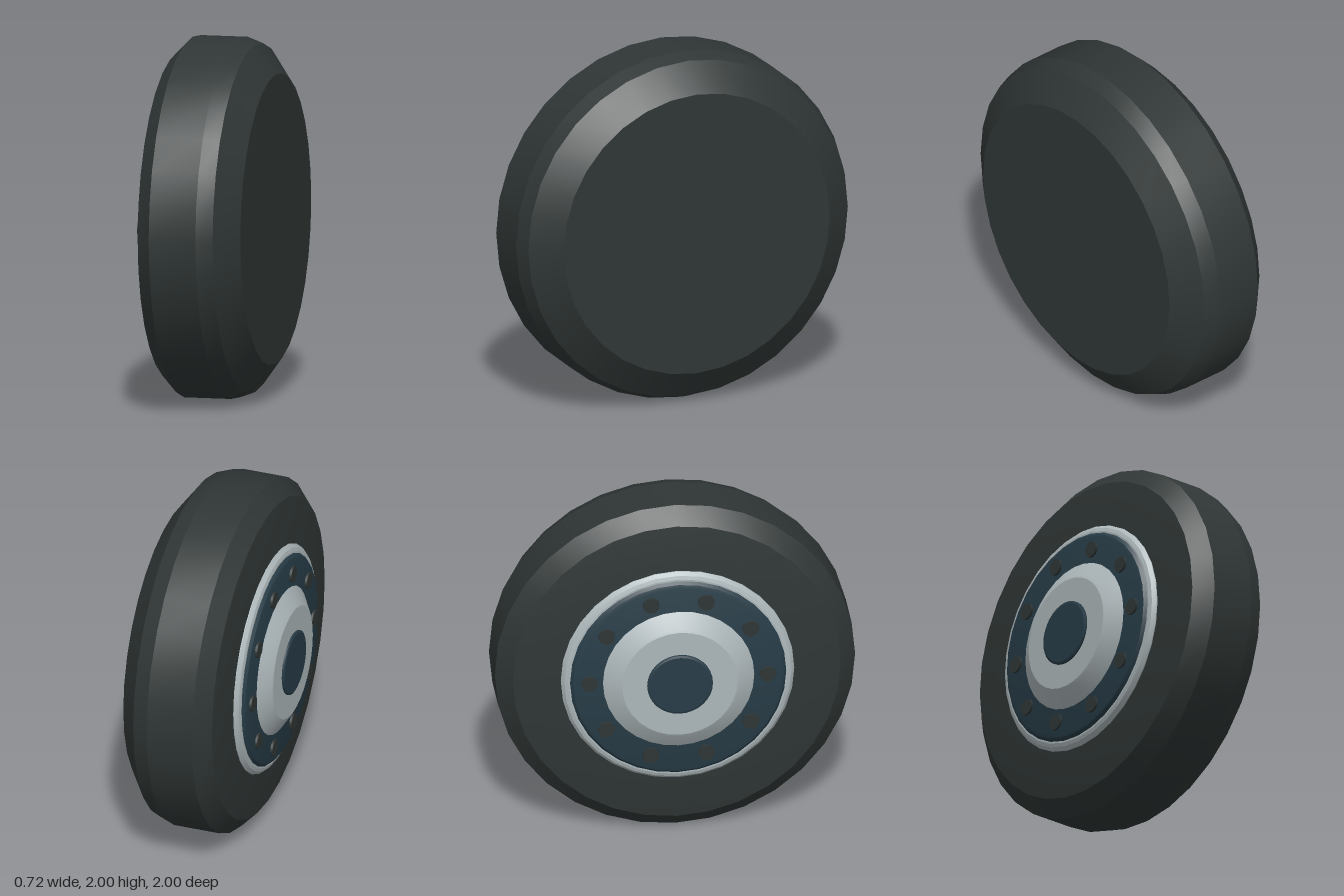
import * as THREE from 'three';
import { toCreasedNormals } from 'three/addons/utils/BufferGeometryUtils.js';

const mat = (name, color) => {
  const m = new THREE.MeshStandardMaterial({ color });
  m.name = name;
  return m;
};

export function createModel() {
  const rubber = mat('rubber', 0x2f3635);
  const steel = mat('light steel', 0xacb6b9);
  const blue = mat('dark blue metal', 0x273c47);

  const wheel = new THREE.Group();
  wheel.name = 'wheel';
  wheel.position.y = 1;

  // Solid of revolution about the x axle; the profile is [x, radius] from -x to +x
  function turned(name, profile, material) {
    const points = profile.map(([x, r]) => new THREE.Vector2(r, x));
    const geo = new THREE.LatheGeometry(points, 32).rotateZ(-Math.PI / 2);
    const mesh = new THREE.Mesh(toCreasedNormals(geo, 0.3), material);
    mesh.name = name;
    wheel.add(mesh);
  }

  // Tyre with a shallow outer wall and a deep bevel to the closed inner face
  turned('tyre', [
    [-0.23, 0], [-0.23, 0.69], [-0.2, 0.91], [-0.115, 1],
    [0.15, 1], [0.24, 0.967], [0.357, 0.805], [0.357, 0],
  ], rubber);

  // Stacked rim, bolt plate, hub and axle cap
  turned('rim', [[-0.262, 0], [-0.262, 0.61], [-0.255, 0.63], [-0.235, 0.648], [-0.22, 0.648]], steel);
  turned('boltPlate', [[-0.284, 0], [-0.284, 0.565], [-0.278, 0.585], [-0.262, 0.6], [-0.25, 0.6]], blue);
  turned('hub', [[-0.345, 0], [-0.345, 0.32], [-0.338, 0.335], [-0.284, 0.42], [-0.27, 0.42]], steel);
  turned('axleCap', [[-0.36, 0], [-0.36, 0.17], [-0.355, 0.182], [-0.33, 0.182]], blue);

  // Ring of ten bolts
  const boltGeo = toCreasedNormals(
    new THREE.CylinderGeometry(0.046, 0.048, 0.03, 14).rotateZ(Math.PI / 2), 0.6);
  for (let i = 0; i < 10; i++) {
    const a = (i / 10) * Math.PI * 2;
    const bolt = new THREE.Mesh(boltGeo, rubber);
    bolt.name = 'bolt';
    bolt.position.set(-0.282, 0.495 * Math.sin(a), 0.495 * Math.cos(a));
    wheel.add(bolt);
  }

  const model = new THREE.Group();
  model.name = 'spareWheel';
  model.add(wheel);
  return model;
}
